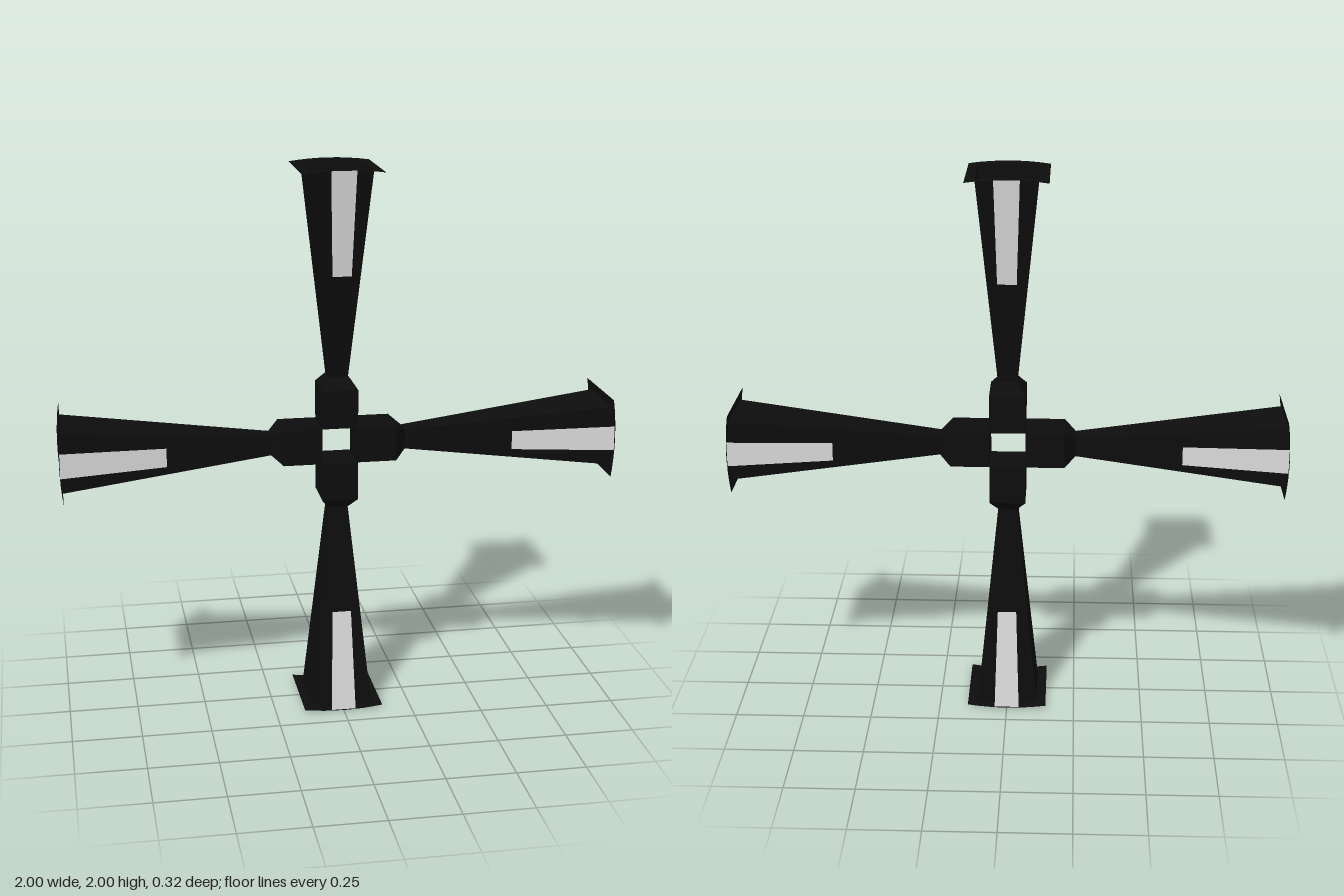
import * as THREE from 'three';

const black = new THREE.MeshStandardMaterial({ color: 0x0d0d0d, flatShading: true, side: THREE.DoubleSide });
black.name = 'black';
const paleGrey = new THREE.MeshStandardMaterial({ color: 0xdcdcdc, side: THREE.DoubleSide });
paleGrey.name = 'pale grey';

// Unit rectangle outline: the front and back edges are subdivided so they can bow.
const N = 8;
const outline = [];
for (let i = 0; i < N; i++) outline.push([-1 + (2 * i) / N, 1]);
for (let i = 0; i < N; i++) outline.push([1 - (2 * i) / N, -1]);
// insert the two side corners implied by the run from front to back
outline.splice(N, 0, [1, 1]);
outline.push([-1, -1]);

// Open rectangular shell through rings of { x, z half sizes, y height }.
// A ring marked "arc" lies on a cylinder of radius y around the z axis.
function loft(rings) {
  const pos = [], index = [], n = outline.length;
  for (const { x, z, y, arc } of rings) {
    for (const [u, v] of outline) {
      const px = u * x;
      pos.push(px, arc ? Math.sqrt(y * y - px * px) : y, v * z);
    }
  }
  for (let r = 0; r < rings.length - 1; r++) {
    for (let i = 0; i < n; i++) {
      const a = r * n + i, b = r * n + ((i + 1) % n);
      index.push(a, b, b + n, a, b + n, a + n);
    }
  }
  const g = new THREE.BufferGeometry();
  g.setAttribute('position', new THREE.Float32BufferAttribute(pos, 3));
  g.setIndex(index);
  g.computeVertexNormals();
  return g;
}

// Tapered pale strip standing just off the horn's broad face.
function stripGeometry() {
  const g = new THREE.PlaneGeometry(2, 1);
  const p = g.attributes.position;
  for (let i = 0; i < p.count; i++) {
    const t = p.getY(i) + 0.5;
    p.setXYZ(i, p.getX(i) * (0.034 + 0.011 * t), 0.625 + 0.373 * t, 0.115 + 0.042 * t);
  }
  g.computeVertexNormals();
  return g;
}

export function createModel() {
  const model = new THREE.Group();
  model.name = 'fourHornCross';

  const throat = { x: 0.035, z: 0.037, y: 0.245 };
  const mouth = { x: 0.11, z: 0.122, y: 1, arc: true };
  const neck = new THREE.BoxGeometry(0.13, 0.14, 0.16).translate(0, 0.135, 0);
  const shoulder = loft([{ x: 0.065, z: 0.08, y: 0.205 }, throat]);
  const horn = loft([throat, mouth]);
  const flange = loft([mouth, { x: 0.145, z: 0.16, y: 1, arc: true }]);
  const strip = stripGeometry();

  // Four identical arms around the open centre
  for (let k = 0; k < 4; k++) {
    const arm = new THREE.Group();
    arm.name = 'hornArm' + (k + 1);
    const add = (name, geometry, material) => {
      const mesh = new THREE.Mesh(geometry, material);
      mesh.name = name;
      arm.add(mesh);
      return mesh;
    };
    add('neck', neck, black);
    add('shoulder', shoulder, black);
    add('horn', horn, black);
    add('mouthFlange', flange, black);
    add('frontStrip', strip, paleGrey);
    add('backStrip', strip, paleGrey).rotation.y = Math.PI;
    arm.rotation.z = (k * Math.PI) / 2;
    arm.position.y = 1;
    model.add(arm);
  }
  return model;
}
